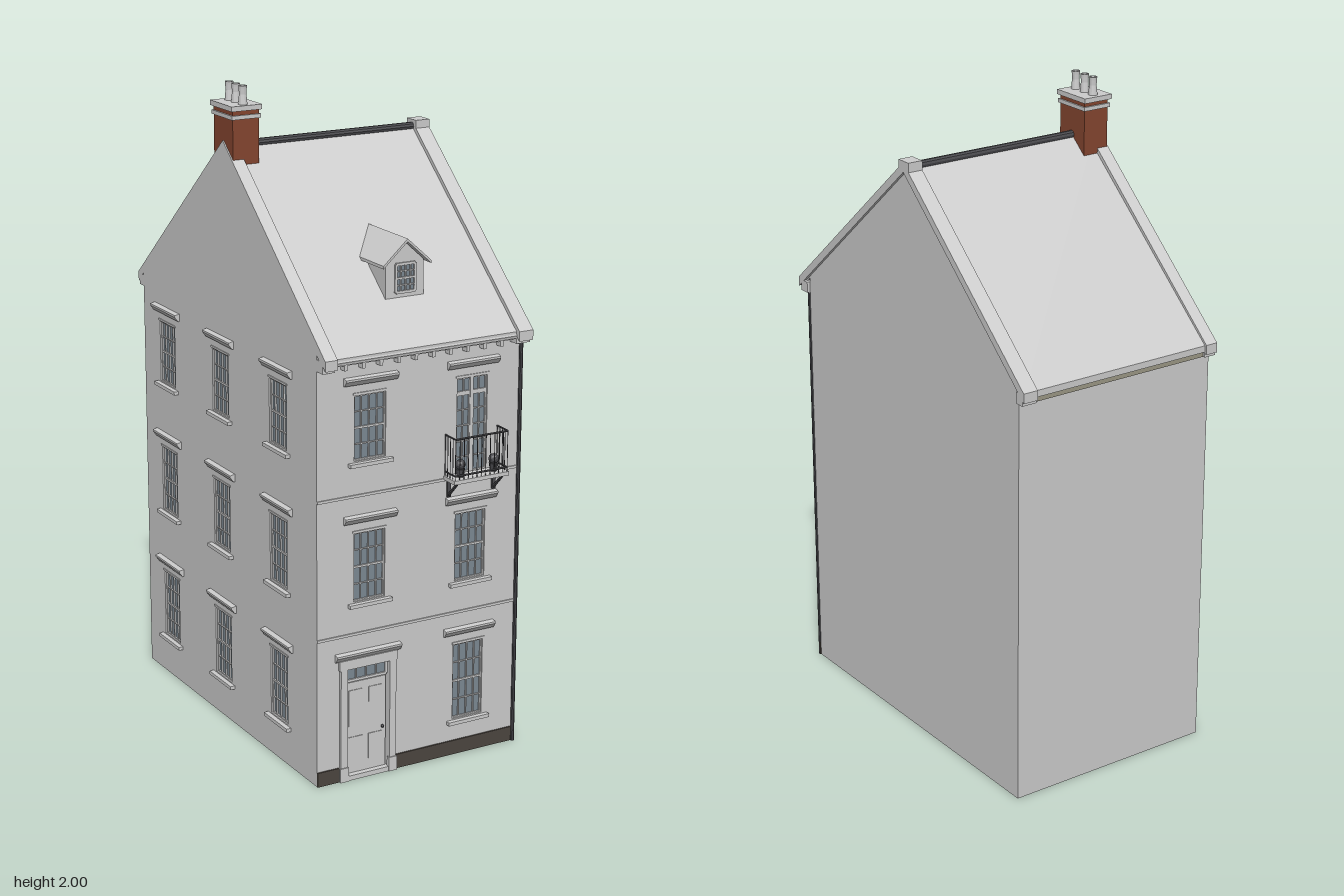
import * as THREE from 'three';

const mat = (color) => new THREE.MeshStandardMaterial({ color, flatShading: true, side: THREE.DoubleSide });
const grey = mat(0xcccccc), dark = mat(0x4a4a4e), plinthMat = mat(0x4c463f), brick = mat(0x84452f);
const glass = mat(0x7c8993), soil = mat(0x3b2618), beige = mat(0xb0a57c), blue = mat(0x98a2aa), khaki = mat(0x9a9784);

function add(parent, name, geo, material = grey, x = 0, y = 0, z = 0) {
  const m = new THREE.Mesh(geo, material);
  m.name = name;
  m.position.set(x, y, z);
  parent.add(m);
  return m;
}
// box from min/max ranges
function box(parent, name, [x0, x1], [y0, y1], [z0, z1], material = grey) {
  return add(parent, name, new THREE.BoxGeometry(x1 - x0, y1 - y0, z1 - z0), material,
    (x0 + x1) / 2, (y0 + y1) / 2, (z0 + z1) / 2);
}
const shapeOf = (pts) => new THREE.Shape(pts.map((p) => new THREE.Vector2(...p)));
const rect = (x0, x1, y0, y1) => [[x0, y0], [x1, y0], [x1, y1], [x0, y1]];
// cross-section in (z, y), swept along x
function prism(parent, name, pts, x0, x1, material = grey) {
  const geo = new THREE.ExtrudeGeometry(shapeOf(pts), { depth: x1 - x0, bevelEnabled: false });
  const m = add(parent, name, geo, material, x1, 0, 0);
  m.rotation.y = -Math.PI / 2;
  return m;
}
function rod(parent, name, a, b, r, material = dark, sides = 6) {
  const p = new THREE.Vector3(...a), q = new THREE.Vector3(...b), d = q.clone().sub(p);
  const m = add(parent, name, new THREE.CylinderGeometry(r, r, d.length(), sides), material);
  m.position.copy(p).add(q).multiplyScalar(0.5);
  m.quaternion.setFromUnitVectors(new THREE.Vector3(0, 1, 0), d.normalize());
  return m;
}
// wall lying behind local z = 0, with openings
function wall(parent, name, outline, openings) {
  const s = shapeOf(outline);
  openings.forEach((o) => s.holes.push(shapeOf(rect(...o))));
  add(parent, name, new THREE.ExtrudeGeometry(s, { depth: 0.015, bevelEnabled: false }), grey, 0, 0, -0.015);
}
// glazed panel with frame and glazing bars
function glazing(parent, x0, x1, y0, y1, cols, rows, z = -0.01) {
  const g = new THREE.Group();
  g.name = 'glazing';
  parent.add(g);
  box(g, 'pane', [x0, x1], [y0, y1], [z - 0.004, z]  , glass);
  for (let i = 0; i <= cols; i++) {
    const x = x0 + ((x1 - x0) * i) / cols, w = i % cols ? 0.0016 : 0.004;
    box(g, 'bar', [x - w, x + w], [y0, y1], [z, z + 0.005]);
  }
  for (let j = 0; j <= rows; j++) {
    const y = y0 + ((y1 - y0) * j) / rows, w = j % rows ? (j * 2 === rows ? 0.003 : 0.0016) : 0.004;
    box(g, 'bar', [x0, x1], [y - w, y + w], [z, z + 0.005]);
  }
}
// moulded hood with a sloping underside
function hood(parent, cx, w, y) {
  prism(parent, 'hood', [[0, y - 0.012], [0.005, y - 0.012], [0.016, y + 0.003], [0.016, y + 0.009], [0, y + 0.012]],
    cx - w / 2, cx + w / 2);
}
function windowSet(parent, cx, y0, y1, hoodY, french = false) {
  const g = new THREE.Group();
  g.name = 'window';
  parent.add(g);
  const x0 = cx - 0.052, x1 = cx + 0.052;
  if (french) {
    glazing(g, x0, cx - 0.004, y0, y1 - 0.05, 2, 5);
    glazing(g, cx + 0.004, x1, y0, y1 - 0.05, 2, 5);
    glazing(g, x0, x1, y1 - 0.045, y1, 4, 1);
    box(g, 'doorPost', [cx - 0.005, cx + 0.005], [y0, y1], [-0.014, -0.003]);
  } else {
    glazing(g, x0, x1, y0, y1, 4, 4);
    box(g, 'sill', [cx - 0.072, cx + 0.072], [y0 - 0.015, y0 - 0.004], [0, 0.015]);
  }
  box(g, 'lintel', [x0 - 0.005, x1 + 0.005], [y1 + 0.003, y1 + 0.009], [0, 0.003]);
  hood(g, cx, 0.175, hoodY);
}
// shallow room behind a window: walls and dark floor
function room(parent, x0, x1, y0, y1, depth, material) {
  box(parent, 'room', [x0, x1], [y0, y1], [-depth, -0.016], material);
  box(parent, 'roomFloor', [x0, x1], [y0 - 0.003, y0], [-depth, -0.016], soil);
}

export function createModel() {
  const house = new THREE.Group();
  house.name = 'townHouse';
  const L = -0.34, R = 0.345, F = 0.55, B = -0.57, RZ = -0.01;

  // front wall
  const front = new THREE.Group();
  front.name = 'frontFacade';
  front.position.z = F;
  house.add(front);
  const fw = [[-0.165, 0.56, 0.77, 0.815], [-0.165, 0.99, 1.185, 1.23], [0.18, 0.115, 0.355, 0.4],
    [0.18, 0.56, 0.77, 0.815], [0.18, 0.895, 1.185, 1.23, true]];
  wall(front, 'frontWall', rect(L, R, 0, 1.3),
    [...fw.map(([c, a, b]) => [c - 0.052, c + 0.052, a, b]), [-0.242, -0.098, 0.015, 0.355]]);
  fw.forEach((w) => windowSet(front, ...w));
  room(front, 0.09, 0.335, 0.02, 0.42, 0.5, blue);

  // door
  const door = new THREE.Group();
  door.name = 'frontDoor';
  front.add(door);
  box(door, 'doorLeaf', [-0.238, -0.102], [0.015, 0.305], [-0.014, -0.008]);
  for (const x of [-0.205, -0.137]) for (const [a, b] of [[0.05, 0.13], [0.165, 0.28]])
    box(door, 'doorPanel', [x - 0.024, x + 0.024], [a, b], [-0.008, -0.006]);
  add(door, 'doorKnob', new THREE.SphereGeometry(0.005, 8, 6), dark, -0.115, 0.145, -0.003);
  glazing(door, -0.238, -0.102, 0.312, 0.352, 4, 1);
  for (const [a, b] of [[-0.264, -0.242], [-0.098, -0.076]]) {
    box(door, 'pilaster', [a, b], [0, 0.365], [0, 0.01]);
    box(door, 'pilasterBase', [a - 0.003, b + 0.003], [0, 0.045], [0, 0.013]);
  }
  box(door, 'doorHead', [-0.268, -0.072], [0.355, 0.385], [0, 0.01]);
  box(door, 'doorStep', [-0.242, -0.098], [0, 0.015], [-0.015, 0.01]);
  hood(door, -0.17, 0.22, 0.395);

  // plinth, string courses, cornice, gutter, drainpipe
  box(front, 'plinth', [L, -0.267], [0, 0.045], [0, 0.005], plinthMat);
  box(front, 'plinth', [-0.073, R + 0.003], [0, 0.045], [0, 0.005], plinthMat);
  for (const y of [0.46, 0.885]) box(front, 'stringCourse', [L, R], [y - 0.004, y + 0.004], [0, 0.004]);
  for (let i = 0; i < 12; i++) {
    const x = -0.315 + i * 0.058;
    box(front, 'eavesBracket', [x - 0.005, x + 0.005], [1.27, 1.29], [0, 0.022]);
  }
  box(front, 'cornice', [L, R], [1.285, 1.3], [0, 0.02]);
  rod(front, 'gutter', [L, 1.3, 0.028], [R, 1.3, 0.028], 0.009, grey, 8);
  rod(front, 'drainpipe', [0.343, 0, 0.007], [0.343, 1.29, 0.007], 0.006, dark, 8);

  // balcony
  const bal = new THREE.Group();
  bal.name = 'balcony';
  front.add(bal);
  box(bal, 'balconyFloor', [0.085, 0.275], [0.885, 0.897], [0, 0.06]);
  const rail = [[0.09, 0], [0.09, 0.056], [0.27, 0.056], [0.27, 0]];
  for (let s = 0; s < 3; s++) {
    const [a, b] = [rail[s], rail[s + 1]];
    for (const y of [0.91, 1.022]) rod(bal, 'rail', [a[0], y, a[1]], [b[0], y, b[1]], 0.003);
    const n = s === 1 ? 12 : 4;
    for (let i = 0; i <= n; i++) {
      const x = a[0] + ((b[0] - a[0]) * i) / n, z = a[1] + ((b[1] - a[1]) * i) / n;
      rod(bal, 'baluster', [x, 0.895, z], [x, 1.022, z], 0.0014, dark, 4);
    }
  }
  for (const x of [0.102, 0.258]) {
    rod(bal, 'bracketStrut', [x, 0.835, 0.002], [x, 0.885, 0.05], 0.005);
    box(bal, 'bracketPlate', [x - 0.006, x + 0.006], [0.83, 0.885], [0, 0.006], dark);
  }
  for (const x of [0.122, 0.238]) {
    add(bal, 'plantPot', new THREE.CylinderGeometry(0.015, 0.01, 0.025, 10), dark, x, 0.91, 0.032);
    add(bal, 'plant', new THREE.IcosahedronGeometry(0.016, 1), dark, x, 0.935, 0.032);
  }

  // gable walls; the one at -x carries a grid of windows
  const gable = [[B, 0], [F, 0], [F, 1.33], [RZ, 1.815], [B, 1.33]];
  const side = new THREE.Group();
  side.name = 'windowedGable';
  side.position.x = L;
  side.rotation.y = -Math.PI / 2;
  house.add(side);
  const sw = [];
  for (const c of [-0.405, -0.043, 0.32])
    for (const [a, b, h] of [[0.13, 0.345, 0.385], [0.56, 0.77, 0.812], [0.99, 1.185, 1.228]]) sw.push([c, a, b, h]);
  wall(side, 'sideWall', gable, sw.map(([c, a, b]) => [c - 0.052, c + 0.052, a, b]));
  sw.forEach(([c, a, b, h], i) => {
    windowSet(side, c, a, b, h);
    room(side, c - 0.085, c + 0.085, a - 0.01, b + 0.01, 0.11, i < 3 || i > 5 ? beige : blue);
  });
  prism(house, 'blankGable', gable, R - 0.015, R);
  box(house, 'backWall', [L, R], [0, 1.3], [B, B + 0.015]);

  // roof slab, copings, ridge
  const roofSection = (zb, zf, y, top, t) =>
    [[zb, y], [RZ, top], [zf, y], [zf, y - t], [RZ, top - t], [zb, y - t]];
  prism(house, 'roof', roofSection(-0.6, 0.585, 1.312, 1.82, 0.02), L, R);
  for (const [x0, x1] of [[L, -0.3], [0.307, 0.355]]) {
    prism(house, 'coping', roofSection(-0.607, 0.6, 1.315, 1.836, 0.03), x0, x1);
    for (const [z0, z1] of [[B - 0.03, B], [F, F + 0.035]]) box(house, 'kneeler', [x0, x1], [1.275, 1.31], [z0, z1]);
  }
  box(house, 'apexBlock', [0.307, 0.355], [1.81, 1.84], [-0.038, 0.014]);
  rod(house, 'ridge', [-0.3, 1.82, RZ], [0.307, 1.82, RZ], 0.012, dark, 10);
  box(house, 'backFascia', [L, R], [1.275, 1.297], [B - 0.022, B], khaki);

  // chimney with bands and pots
  const ch = new THREE.Group();
  ch.name = 'chimney';
  house.add(ch);
  box(ch, 'stack', [-0.336, -0.25], [1.75, 1.935], [-0.072, 0.048], brick);
  box(ch, 'band', [-0.341, -0.245], [1.905, 1.917], [-0.078, 0.053]);
  box(ch, 'cap', [-0.343, -0.243], [1.93, 1.945], [-0.083, 0.056]);
  const pot = [[0.0, 0.03], [0.009, 0.03], [0.009, 0.055], [0.013, 0.055], [0.012, 0.046], [0.011, 0.03], [0.014, 0]];
  for (const z of [-0.055, -0.014, 0.03])
    add(ch, 'chimneyPot', new THREE.LatheGeometry(pot.map((p) => new THREE.Vector2(...p)), 14), grey, -0.293, 1.945, z);

  // dormer: gabled box running back into the roof
  const d = new THREE.Group();
  d.name = 'dormer';
  d.position.x = 0.005;
  house.add(d);
  const body = shapeOf([[-0.064, 1.41], [0.064, 1.41], [0.064, 1.53], [0, 1.588], [-0.064, 1.53]]);
  add(d, 'dormerBody', new THREE.ExtrudeGeometry(body, { depth: 0.2, bevelEnabled: false }), grey, 0, 0, 0.252);
  for (const s of [-1, 1]) {
    // each roof plane tapers back along the valley with the main roof
    const p = (x, y, z) => [s * x, y, z];
    const v = [p(0, 1.6, 0.468), p(0.08, 1.528, 0.468), p(0.08, 1.528, 0.32), p(0, 1.6, 0.235)];
    const under = v.map(([x, y, z]) => [x, y - 0.009, z]);
    const geo = new THREE.BufferGeometry();
    geo.setAttribute('position', new THREE.Float32BufferAttribute([...v, ...under].flat(), 3));
    const idx = [0, 1, 2, 0, 2, 3, 4, 6, 5, 4, 7, 6, 0, 4, 5, 0, 5, 1, 1, 5, 6, 1, 6, 2];
    geo.setIndex(s > 0 ? idx : idx.reverse());
    geo.computeVertexNormals();
    add(d, 'dormerRoof', geo);
  }
  glazing(d, -0.032, 0.032, 1.442, 1.525, 4, 4, 0.455);
  return house;
}
